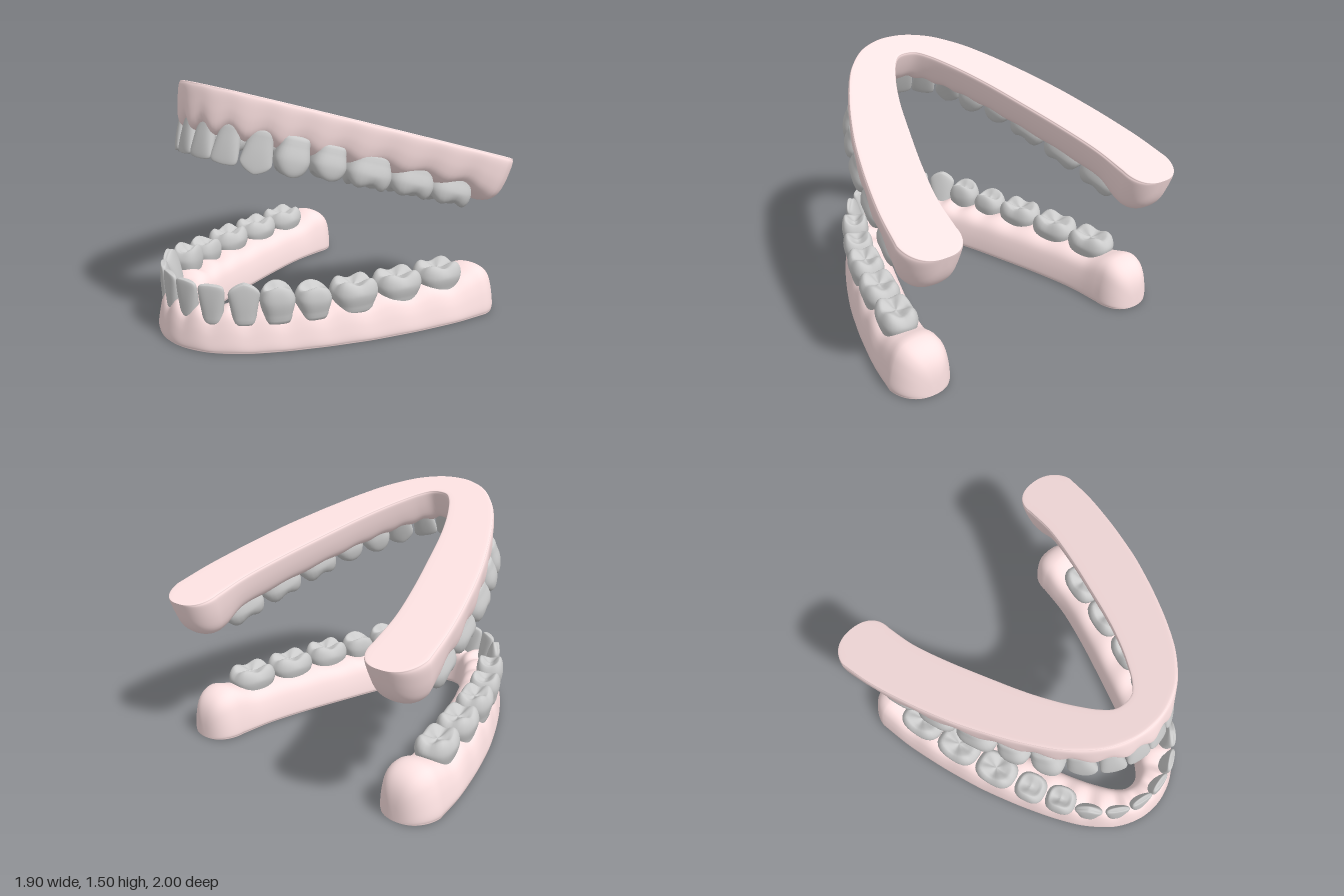
import * as THREE from 'three';
import { mergeVertices } from 'three/addons/utils/BufferGeometryUtils.js';

// Arch stations from the midline back: outer x, outer depth, inner x, inner depth
const ARCH = [
  [0.09, 0.008, 0.05, 0.22], [0.265, 0.085, 0.12, 0.285], [0.42, 0.24, 0.19, 0.40],
  [0.54, 0.43, 0.255, 0.53], [0.65, 0.65, 0.325, 0.70], [0.755, 0.90, 0.40, 0.92],
  [0.845, 1.18, 0.49, 1.20], [0.915, 1.46, 0.56, 1.47], [0.952, 1.70, 0.587, 1.70],
];

// Teeth from the midline back: name, x, depth in arch, width, thickness, tip height
const TEETH = [
  ['centralIncisor', 0.077, 0.09, 0.154, 0.12, 0.40],
  ['lateralIncisor', 0.225, 0.145, 0.156, 0.125, 0.40],
  ['canine', 0.35, 0.27, 0.18, 0.15, 0.415],
  ['firstPremolar', 0.45, 0.43, 0.20, 0.175, 0.39],
  ['secondPremolar', 0.535, 0.625, 0.205, 0.19, 0.365],
  ['firstMolar', 0.615, 0.87, 0.28, 0.215, 0.365],
  ['secondMolar', 0.685, 1.16, 0.295, 0.225, 0.36],
  ['thirdMolar', 0.745, 1.455, 0.295, 0.225, 0.36],
];

const gumMaterial = new THREE.MeshStandardMaterial({ color: 0xffe4e4 });
const toothMaterial = new THREE.MeshStandardMaterial({ color: 0xcccccc });

const spline = (points, n) =>
  new THREE.SplineCurve(points.map(([x, y]) => new THREE.Vector2(x, y))).getPoints(n);

// Curve through points on the left half and their mirror images
function mirroredCurve(points) {
  const left = points.map(([x, s]) => new THREE.Vector3(x, 0, -s));
  const right = left.map((p) => new THREE.Vector3(-p.x, 0, p.z)).reverse();
  return new THREE.CatmullRomCurve3([...right, ...left], false, 'catmullrom', 0.5);
}

// Smooth surface through rows of points
function loft(rows) {
  const n = rows[0].length, index = [];
  for (let i = 0; i < rows.length - 1; i++) {
    for (let j = 0; j < n - 1; j++) {
      const a = i * n + j, b = a + n;
      index.push(a, b, a + 1, b + 1, a + 1, b);
    }
  }
  const geometry = mergeVertices(new THREE.BufferGeometry().setFromPoints(rows.flat()).setIndex(index), 1e-5);
  geometry.computeVertexNormals();
  return geometry;
}

function gumGeometry() {
  const outer = mirroredCurve(ARCH.map((a) => [a[0], a[1]]));
  const inner = mirroredCurve(ARCH.map((a) => [a[2], a[3]]));
  const spans = ARCH.length * 2 - 1, steps = spans * 8;
  const stations = [];
  for (let i = 0; i <= steps; i++) {
    const p = (i / steps) * spans;
    const tooth = Math.abs(p - spans / 2) - 0.5;
    const back = THREE.MathUtils.smoothstep(tooth, 7.25, 8);
    const depth = THREE.MathUtils.lerp(0.034, 0.016, Math.max(tooth, 0) / 8) * (1 - back);
    stations.push({
      o: outer.getPoint(i / steps),
      i: inner.getPoint(i / steps),
      h: THREE.MathUtils.lerp(0.23, 0.285, back),
      scallop: depth * Math.cos(2 * Math.PI * p),
    });
  }
  // Rounded rear ends
  const cap = (side) => Array.from({ length: 14 }, (_, k) => {
    const a = ((k + 1) / 14) * Math.PI / 2;
    const c = Math.max(Math.cos(a), 0);
    const half = 0.1825 * c ** 0.82;
    const z = -1.7 - 0.172 * Math.sin(a);
    const x = 0.7695 - 0.01 * Math.sin(a);
    return {
      o: new THREE.Vector3(side * (x + half), 0, z),
      i: new THREE.Vector3(side * (x - half), 0, z),
      h: 0.285 * c ** 0.55,
      scallop: 0,
    };
  });

  // Closed cross-section: position across the ridge, share of the height
  const section = spline([
    [0.5, 0], [0.07, 0], [0.015, 0.04], [0, 0.14], [0.02, 0.34], [0.065, 0.6], [0.14, 0.84], [0.27, 0.99],
    [0.5, 1.04], [0.74, 0.99], [0.89, 0.82], [0.965, 0.5], [1, 0.14], [0.985, 0.04], [0.93, 0], [0.5, 0],
  ], 60);
  const all = [...cap(-1).reverse(), ...stations, ...cap(1)];
  return loft(all.map((s) => section.map((c) => {
    const v = s.o.clone().lerp(s.i, c.x);
    v.y = Math.max(c.y, 0) * (s.h - s.scallop * (1 - c.x));
    return v;
  })));
}

// Crown shaped from a lathe: squared outline, then a biting edge or cusps
function toothGeometry(k, width, depth, tip) {
  const front = k < 3, canine = k === 2, molar = k > 4;
  const points = spline(front
    ? [[0, 0], [0.66, 0], [0.8, 0.25], [0.94, 0.6], [1, 0.84], [0.96, 0.95], [0.8, 1], [0.4, 1], [0, 1]]
    : [[0, 0], [0.7, 0], [0.86, 0.25], [0.98, 0.48], [1, 0.66], [0.92, 0.87], [0.74, 1], [0.48, 0.94], [0.22, 0.83], [0, 0.8]], 24);
  points.forEach((p) => { p.x = Math.max(p.x, 0); });
  const lathe = new THREE.LatheGeometry(points, 32);
  const pos = lathe.attributes.position;
  const root = 0.165, n = front ? 2.6 : 2.8;
  for (let i = 0; i < pos.count; i++) {
    const x = pos.getX(i), z = pos.getZ(i);
    let t = pos.getY(i);
    const r = Math.hypot(x, z), a = Math.atan2(x, z);
    const square = (Math.abs(Math.sin(a)) ** n + Math.abs(Math.cos(a)) ** n) ** (-1 / n);
    const px = x * square * width / 2;
    let pz = z * square * depth / 2;
    if (front) {
      pz = pz * (1 - 0.7 * t) + 0.25 * depth * t;
      t -= (canine ? 0.2 : 0.03) * Math.abs(x) ** 1.5 * t ** 3;
    } else {
      // Four cusps on molars, two on premolars, with grooves between
      const cusp = molar ? -Math.cos(4 * a) : Math.cos(2 * a);
      const top = THREE.MathUtils.smoothstep(t, 0.5, 0.95) * Math.min(r / 0.5, 1);
      t -= (molar ? 0.07 : 0.08) * (1 - cusp) * top;
    }
    pos.setXYZ(i, px, root + t * (tip - root), pz);
  }
  lathe.deleteAttribute('uv');
  lathe.deleteAttribute('normal');
  const geometry = mergeVertices(lathe, 1e-5);
  geometry.computeVertexNormals();
  return geometry;
}

// One jaw standing on its flat base, front edge at z = 0; lean tips the front teeth inward
function createJaw(name, lean) {
  const jaw = new THREE.Group();
  jaw.name = name;
  const gum = new THREE.Mesh(gumGeometry(), gumMaterial);
  gum.name = 'gum';
  jaw.add(gum);

  const row = mirroredCurve(TEETH.map((t) => [t[1], t[2]]));
  const last = TEETH.length * 2 - 1;
  TEETH.forEach(([label, x, s, width, depth, tip], k) => {
    const geometry = toothGeometry(k, width, depth, tip);
    const tangent = row.getTangent((TEETH.length + k) / last);
    const yaw = Math.atan2(-tangent.z, tangent.x);
    for (const side of [1, -1]) {
      const tooth = new THREE.Mesh(geometry, toothMaterial);
      tooth.name = label;
      tooth.position.set(side * x, 0, -s);
      tooth.rotation.set(k < 3 ? -lean : 0, side * yaw, 0, 'YXZ');
      jaw.add(tooth);
    }
  });
  return jaw;
}

export function createModel() {
  const model = new THREE.Group();
  model.name = 'openJaws';
  const lower = createJaw('lowerJaw', 0);
  lower.position.z = 1;
  // Upper jaw turned over and tilted open
  const upper = createJaw('upperJaw', 0.09);
  upper.position.set(0, 1.5, 0.785);
  upper.rotation.set(-0.305, 0, Math.PI);
  model.add(lower, upper);
  return model;
}
